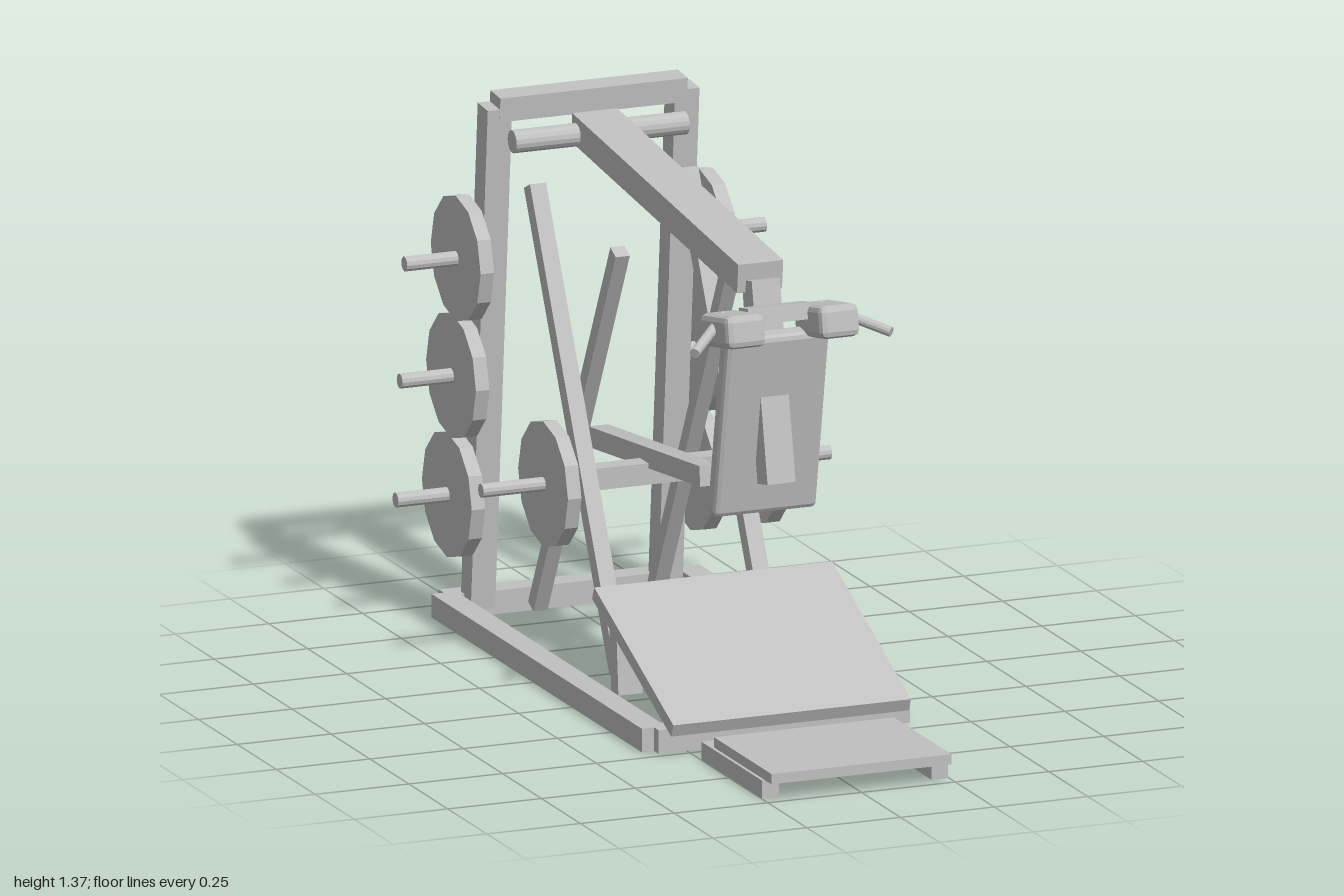
import * as THREE from 'three';
import { RoundedBoxGeometry } from 'three/addons/geometries/RoundedBoxGeometry.js';

export function createModel() {
  const model = new THREE.Group();
  model.name = 'leverSquatMachine';
  const steel = new THREE.MeshStandardMaterial({ color: 0xc0c0c0, flatShading: true });
  steel.name = 'greySteel';

  const add = (name, geometry, x, y, z) => {
    const mesh = new THREE.Mesh(geometry, steel);
    mesh.name = name;
    mesh.position.set(x, y, z);
    model.add(mesh);
    return mesh;
  };
  const box = (name, w, h, d, x, y, z) => add(name, new THREE.BoxGeometry(w, h, d), x, y, z);

  // Straight bar in a plane of constant x, running between two [z, y] points
  const beam = (name, x, [z1, y1], [z2, y2], w, t, round = 0) => {
    const length = Math.hypot(z2 - z1, y2 - y1);
    const geometry = round
      ? new RoundedBoxGeometry(w, t, length, 1, round)
      : new THREE.BoxGeometry(w, t, length);
    const mesh = add(name, geometry, x, (y1 + y2) / 2, (z1 + z2) / 2);
    mesh.rotation.x = -Math.atan2(y2 - y1, z2 - z1);
    return mesh;
  };

  // Cylinder lying along x
  const rod = (name, r, x1, x2, y, z, sides = 12) => {
    const mesh = add(name, new THREE.CylinderGeometry(r, r, Math.abs(x2 - x1), sides), (x1 + x2) / 2, y, z);
    mesh.rotation.z = Math.PI / 2;
    return mesh;
  };

  // Base frame cross members and top of the rear frame
  box('baseFrontBar', 0.65, 0.06, 0.065, 0, 0.03, 0.447);
  box('baseRearBar', 0.65, 0.06, 0.065, 0, 0.03, -0.9);
  beam('topBar', 0, [-0.754, 1.302], [-0.749, 1.364], 0.5, 0.065);

  for (const s of [-1, 1]) {
    // Base rails and leaning rear uprights
    box('baseRail', 0.065, 0.06, 1.35, s * 0.325, 0.03, -0.225);
    beam('rearUpright', s * 0.25, [-0.861, 0.03], [-0.752, 1.335], 0.065, 0.065);

    // Crossed braces
    beam('forwardBrace', s * 0.203, [-0.608, 1.163], [-0.06, 0.06], 0.043, 0.043);
    beam('backwardBrace', s * 0.157, [-0.172, 1.1], [-0.7, 0.06], 0.038, 0.038);

    // Stored weight plates on the uprights
    for (const [y, z] of [[0.947, -0.78], [0.64, -0.81], [0.329, -0.837]]) {
      rod('storedPlate', 0.16, s * 0.307, s * 0.343, y, z);
      rod('storagePeg', 0.019, s * 0.25, s * 0.48, y, z);
    }

    // Working weight plates on the lower lever
    rod('leverPlate', 0.16, s * 0.263, s * 0.299, 0.482, -0.325);
    rod('leverPeg', 0.018, s * 0.16, s * 0.465, 0.482, -0.325);

    // Shoulder pads and angled handles
    beam('shoulderPad', s * 0.125, [0.567, 1.08], [0.385, 1.044], 0.105, 0.082, 0.016);
    const a = new THREE.Vector3(s * 0.13, 1.085, 0.425);
    const b = new THREE.Vector3(s * 0.262, 1.037, 0.56);
    const mid = a.clone().add(b).multiplyScalar(0.5);
    const handle = add('handle', new THREE.CylinderGeometry(0.013, 0.013, a.distanceTo(b), 12), mid.x, mid.y, mid.z);
    handle.quaternion.setFromUnitVectors(new THREE.Vector3(0, 1, 0), b.clone().sub(a).normalize());

    // Foot plate supports and step runners
    beam('footPlateLeg', s * 0.25, [0.077, 0.285], [0.096, 0.05], 0.065, 0.046);
    box('stepRunner', 0.045, 0.046, 0.387, s * 0.226, 0.023, 0.765);
  }

  // Pivot axle, lever arm and drop bar
  rod('pivotAxle', 0.029, -0.231, 0.231, 1.257, -0.687, 16);
  beam('mainArm', 0, [0.349, 1.152], [-0.717, 1.268], 0.12, 0.075);
  beam('dropBar', 0, [0.353, 1.147], [0.455, 0.652], 0.075, 0.065);

  // Chest pad with the bar joining the shoulder pads
  beam('chestPad', 0, [0.445, 1.035], [0.358, 0.56], 0.275, 0.055, 0.014);
  beam('shoulderPadBar', 0, [0.478, 1.09], [0.42, 1.078], 0.17, 0.042);

  // Lower lever and its cross bar
  beam('lowerLever', 0, [0.024, 0.561], [-0.687, 0.481], 0.052, 0.052);
  box('braceCrossBar', 0.355, 0.055, 0.053, 0, 0.483, -0.333);

  // Sloping foot plate and the step in front
  beam('footPlate', 0, [0.548, 0.075], [0.04, 0.298], 0.634, 0.035);
  box('stepPlate', 0.48, 0.026, 0.37, 0, 0.059, 0.815);

  return model;
}
